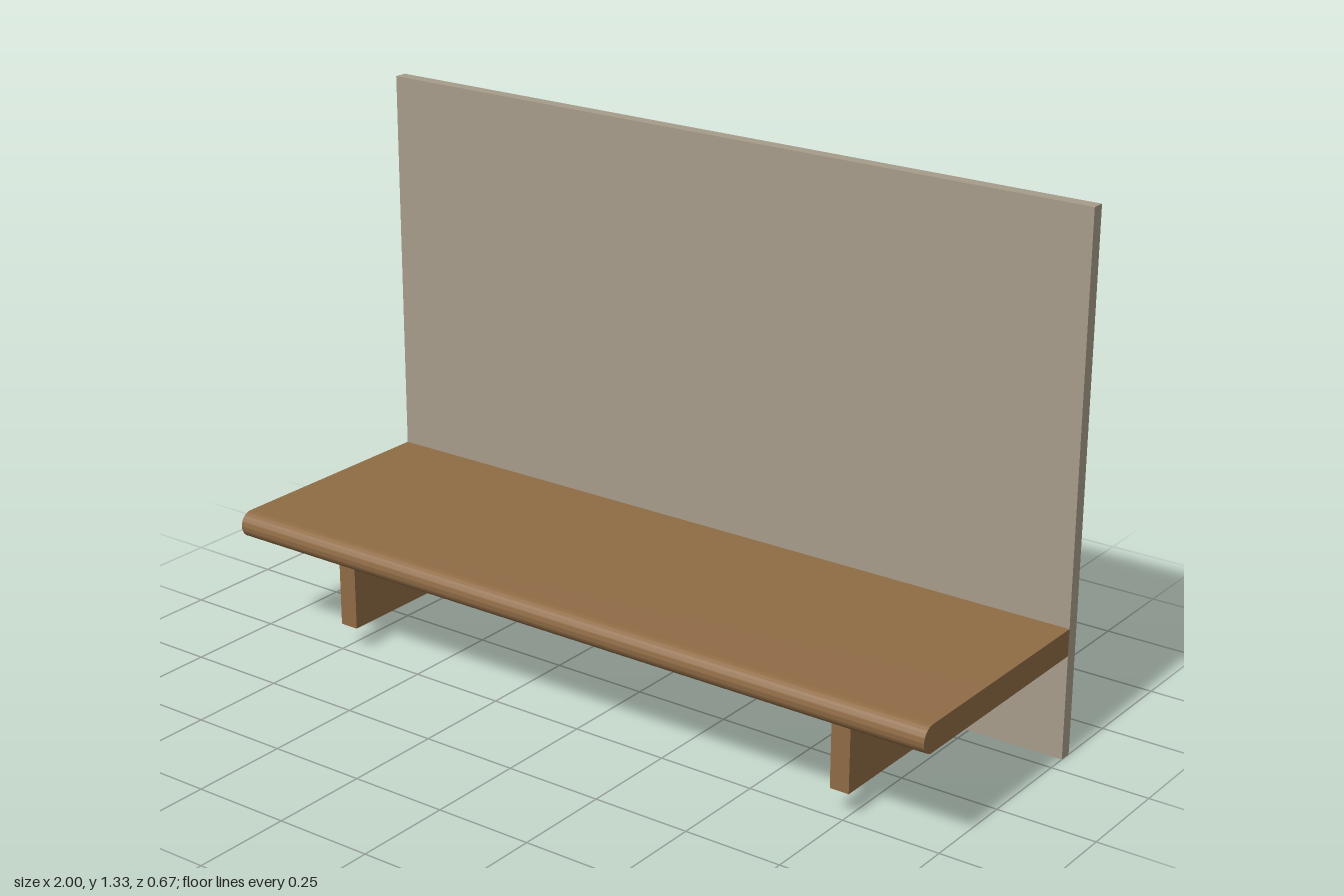
import * as THREE from 'three';
import { toCreasedNormals } from 'three/addons/utils/BufferGeometryUtils.js';

export function createModel() {
  const group = new THREE.Group();
  const wood = new THREE.MeshStandardMaterial({ name: 'brown wood', color: 0x8f6b45 });
  const stone = new THREE.MeshStandardMaterial({ name: 'beige panel', color: 0xa69c8a });

  const add = (name, geometry, material, x, y, z) => {
    const mesh = new THREE.Mesh(geometry, material);
    mesh.name = name;
    mesh.position.set(x, y, z);
    group.add(mesh);
  };

  // Upright back panel
  const height = 1.333, thickness = 0.033;
  add('backPanel', new THREE.BoxGeometry(2, height, thickness), stone, 0, height / 2, -0.3168);

  // Seat slab with a half-round front edge, drawn as a side profile (z, y)
  const bottom = 0.265, top = 0.333, back = -0.3003, front = 0.3333;
  const radius = (top - bottom) / 2;
  const profile = new THREE.Shape();
  profile.moveTo(back, bottom);
  profile.lineTo(front - radius, bottom);
  profile.absarc(front - radius, bottom + radius, radius, -Math.PI / 2, Math.PI / 2, false);
  profile.lineTo(back, top);
  profile.closePath();
  const slab = new THREE.ExtrudeGeometry(profile, { depth: 2, bevelEnabled: false, curveSegments: 24 });
  slab.rotateY(-Math.PI / 2);
  add('seat', toCreasedNormals(slab, 0.5), wood, 1, 0, 0);

  // Pair of support brackets under the seat
  const foot = 0.063;
  for (const side of [-1, 1]) {
    add(side > 0 ? 'leftBracket' : 'rightBracket',
      new THREE.BoxGeometry(0.05, bottom - foot, 0.48), wood,
      side * 0.733, (bottom + foot) / 2, 0);
  }
  return group;
}
